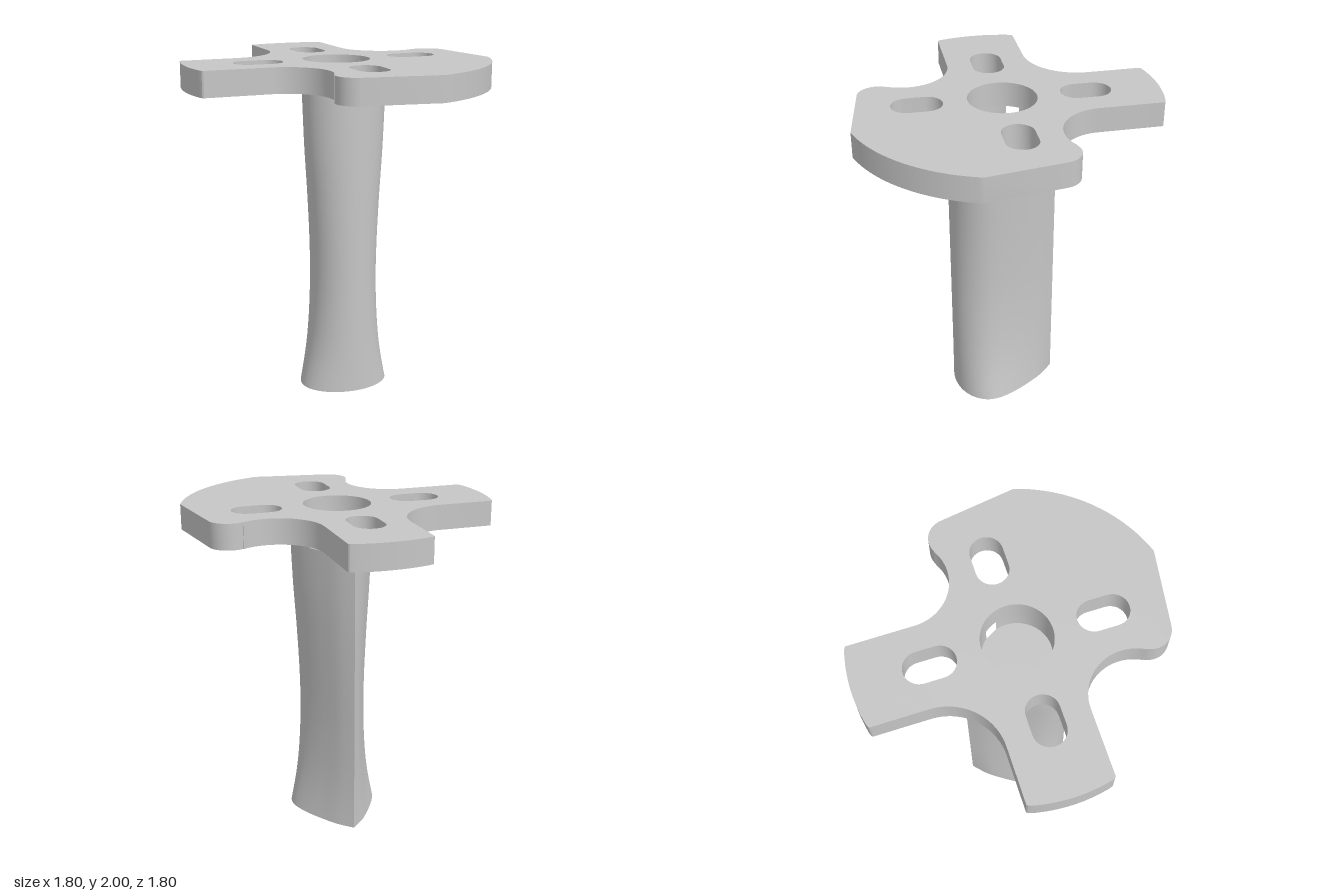
import * as THREE from 'three';
import { toCreasedNormals } from 'three/addons/utils/BufferGeometryUtils.js';

const DEG = Math.PI / 180;

// Points are [x, z] pairs on the ground plane; angles run from +x towards +z.
function arc(cx, cz, r, a0, a1, n = 16) {
  const pts = [];
  for (let i = 0; i <= n; i++) {
    const a = (a0 + ((a1 - a0) * i) / n) * DEG;
    pts.push([cx + r * Math.cos(a), cz + r * Math.sin(a)]);
  }
  return pts;
}

const toVectors = (pts) => pts.map(([x, z]) => new THREE.Vector2(x, -z));

// Upright prism from an outline, standing on y = base
function prism(outline, holes, base, height, steps = 1) {
  const shape = new THREE.Shape(toVectors(outline));
  holes.forEach((h) => shape.holes.push(new THREE.Path(toVectors(h))));
  const geo = new THREE.ExtrudeGeometry(shape, { depth: height, steps, bevelEnabled: false });
  return geo.rotateX(-Math.PI / 2).translate(0, base, 0);
}

// Stadium-shaped slot, long along x or along z
function slot(cx, cz, alongX, half = 0.148, r = 0.0935) {
  const d = half - r;
  const pts = [...arc(d, 0, r, -90, 90), ...arc(-d, 0, r, 90, 270)];
  return pts.map(([u, v]) => (alongX ? [cx + u, cz + v] : [cx + v, cz + u]));
}

// Half of the plate outline; the other half is its reflection across x = z.
// Reversed to run counter-clockwise from above, so the holes face inwards.
function plateOutline() {
  const half = [
    ...arc(-0.54, -0.54, 0.32, 45, 0),
    [-0.22, -0.86], [-0.214, -0.868],
    ...arc(0.02, 0.02, 0.92, -103.5, -76.5),
    [0.253, -0.868], [0.259, -0.86],
    ...arc(0.522, -0.48, 0.262, 180, 60, 24),
    ...arc(0.711, -0.148, 0.117, -119, -9, 20),
    ...arc(0.02, 0.02, 0.915, 16.8, 45),
  ];
  const mirrored = half.slice(1, -1).reverse().map(([x, z]) => [z, x]);
  return [...half, ...mirrored].reverse();
}

// Teardrop section with unit half width: sharp at the back, round at the front
function handleSection() {
  const side = new THREE.SplineCurve(
    [[0, -0.303], [0.33, -0.217], [0.61, -0.11], [0.77, -0.04], [0.9, 0.03], [0.98, 0.093], [1, 0.14]]
      .map(([x, z]) => new THREE.Vector2(x, z)),
  ).getPoints(24).map((p) => [p.x, p.y]);
  const front = arc(0, 0, 1, 0, 90, 16).slice(1).map(([x, z]) => [x, 0.14 + 0.204 * z]);
  const right = [...side, ...front];
  const left = right.slice(1, -1).reverse().map(([x, z]) => [-x, z]);
  return [...right, ...left];
}

// Half width of the handle at height y
const widthPoints = new THREE.SplineCurve(
  [[0, 0.271], [0.2, 0.232], [0.4, 0.209], [0.65, 0.197], [0.9, 0.2], [1.2, 0.215], [1.5, 0.235], [1.85, 0.25]]
    .map(([y, w]) => new THREE.Vector2(y, w)),
).getPoints(140);

function widthAt(y) {
  const i = Math.max(1, widthPoints.findIndex((p) => p.x >= y - 1e-5));
  const a = widthPoints[i - 1], b = widthPoints[i];
  return a.y + ((b.y - a.y) * (y - a.x)) / (b.x - a.x);
}

// Scales a prism of unit half width to the handle's width at each height
function taper(geo) {
  const pos = geo.attributes.position;
  for (let i = 0; i < pos.count; i++) pos.setX(i, pos.getX(i) * widthAt(pos.getY(i)));
  return geo;
}

export function createModel() {
  const model = new THREE.Group();
  model.name = 'handledPlate';
  const grey = new THREE.MeshStandardMaterial({ color: 0xc6c6c6 });
  grey.name = 'grey';

  const add = (name, geo, parent) => {
    const mesh = new THREE.Mesh(toCreasedNormals(geo, 28 * DEG), grey);
    mesh.name = name;
    parent.add(mesh);
  };

  // Slotted plate with a round socket opening
  const holes = [
    arc(0.02, 0.02, 0.2, 0, 360, 64).slice(0, -1),
    slot(0.019, -0.467, false),
    slot(0.019, 0.507, false),
    slot(-0.467, 0.019, true),
    slot(0.507, 0.019, true),
  ];
  add('plate', prism(plateOutline(), holes, 1.85, 0.15), model);

  // Handle, waisted in width only, up to the socket floor
  const handle = new THREE.Group();
  handle.name = 'handle';
  handle.position.x = 0.02;
  model.add(handle);

  const section = handleSection();
  const floor = 1.76;
  add('grip', taper(prism(section, [], 0, floor, 32)), handle);

  // Socket walls: the round bore breaks out through both sides of the handle
  const bore = (a0, a1) => arc(0, 0.02, 0.2, a0, a1, 40).map(([x, z]) => [x / widthAt(1.8), z]);
  const wall = (name, outline) => add(name, taper(prism(outline, [], floor, 1.85 - floor)), handle);

  const front = section.filter(([, z]) => z > -0.035);
  wall('socketFrontWall', [...front, ...bore(197.5, -17.5)]);

  const back = section.filter(([, z]) => z < -0.113);
  wall('socketBackWall', [
    ...back.filter(([x]) => x < 0), ...back.filter(([x]) => x >= 0), ...bore(-40.5, -139.5),
  ]);

  return model;
}
